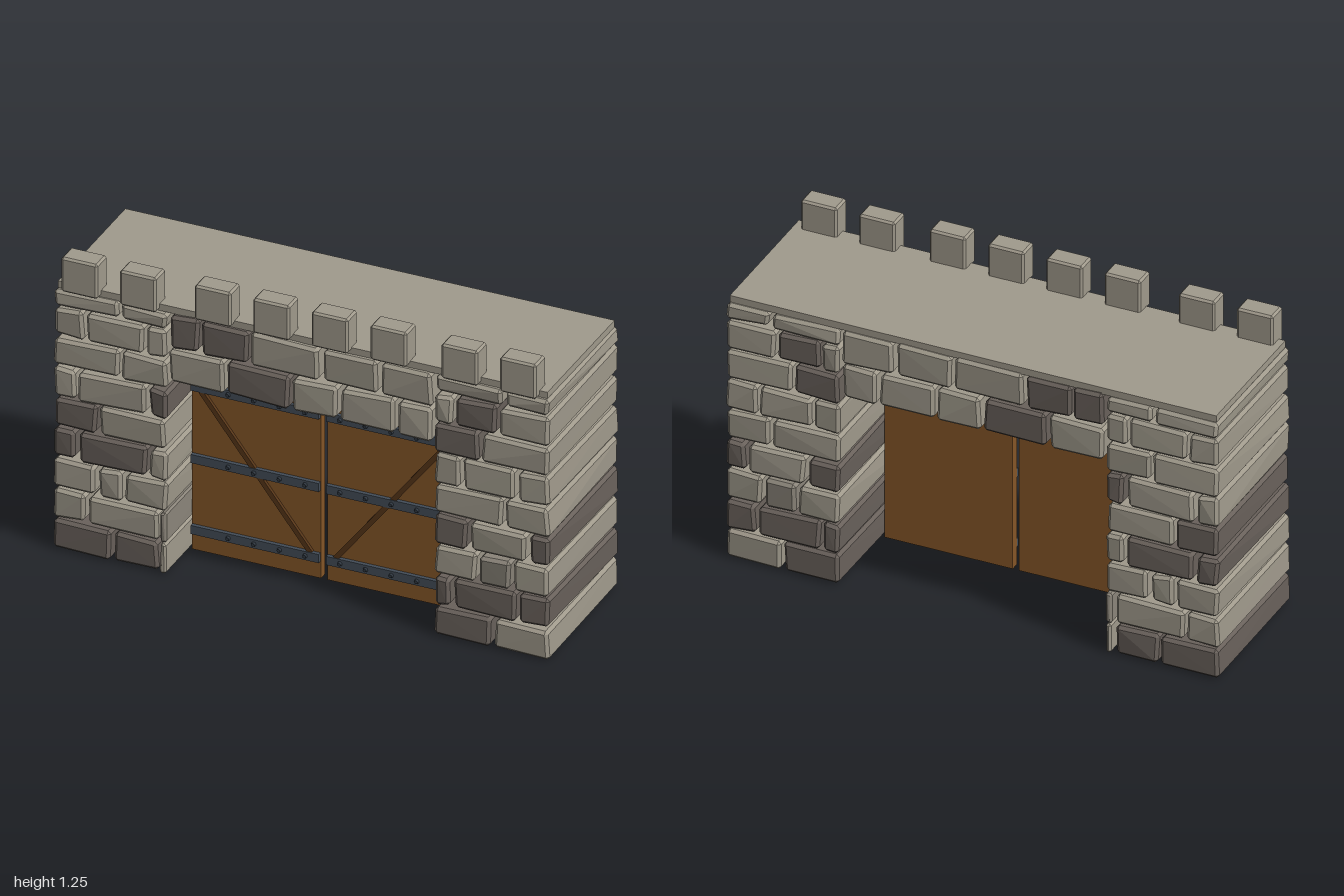
import * as THREE from 'three';
import { ConvexGeometry } from 'three/addons/geometries/ConvexGeometry.js';

const mat = (name, color) => {
  const m = new THREE.MeshStandardMaterial({ color });
  m.name = name;
  return m;
};

export function createModel() {
  const root = new THREE.Group();
  root.name = 'stoneGatehouse';
  const light = mat('lightStone', 0xa09a8c);
  const mid = mat('midStone', 0x8b857a);
  const dark = mat('darkStone', 0x69615b);
  const wood = mat('doorWood', 0x855628);
  const brace = mat('braceWood', 0x573618);
  const iron = mat('iron', 0x434d58);
  const rivetIron = mat('rivetIron', 0x303841);
  const tones = { l: light, m: mid, d: dark };

  // Small seeded generator for the uneven stone corners
  let seed = 11;
  const rand = () => {
    seed = (seed * 16807) % 2147483647;
    return seed / 2147483647;
  };

  const add = (parent, name, geometry, material, x = 0, y = 0, z = 0) => {
    const m = new THREE.Mesh(geometry, material);
    m.name = name;
    m.position.set(x, y, z);
    parent.add(m);
    return m;
  };

  // Chamfered block: three points per corner, each corner pushed inward a little
  function block(x0, x1, y0, y1, z0, z1, bevel, wobble) {
    const points = [];
    const c = [(x0 + x1) / 2, (y0 + y1) / 2, (z0 + z1) / 2];
    const h = [(x1 - x0) / 2, (y1 - y0) / 2, (z1 - z0) / 2];
    const b = Math.min(bevel, h[0] * 0.5, h[1] * 0.4);
    const w = Math.min(wobble, h[0] * 0.3);
    for (const sx of [-1, 1]) for (const sy of [-1, 1]) for (const sz of [-1, 1]) {
      const s = [sx, sy, sz];
      const push = s.map(() => rand() * w);
      for (let axis = 0; axis < 3; axis++) {
        const p = s.map((v, i) => c[i] + v * (h[i] - push[i] - (i === axis ? 0 : b)));
        points.push(new THREE.Vector3(...p));
      }
    }
    return new ConvexGeometry(points);
  }

  // A course of stones: [y0, y1, tones, x limits of the stones]
  function course(parent, [y0, y1, code, xs], zFront) {
    for (let i = 0; i < code.length; i++) {
      const g = block(xs[i] + 0.003, xs[i + 1] - 0.003, y0, y1, -0.316, zFront, 0.012, 0.009);
      add(parent, 'stone', g, tones[code[i]]);
    }
  }

  const rowY = [0, 0.13, 0.258, 0.386, 0.513, 0.641, 0.77, 0.896, 1.022, 1.097];
  const rightRows = [ // pillar on -x
    ['ddl', [-1, -0.757, -0.57, -0.535]],
    ['llm', [-1, -0.86, -0.57, -0.535]],
    ['lll', [-1, -0.82, -0.715, -0.535]],
    ['ddl', [-1, -0.9, -0.617, -0.535]],
    ['dl', [-1, -0.815, -0.54]],
    ['lld', [-1, -0.9, -0.617, -0.535]],
    ['ll', [-1, -0.725, -0.535]],
    ['lll', [-1, -0.87, -0.63, -0.535]],
    ['ll', [-1, -0.73, -0.535]],
  ];
  const leftRows = [ // pillar on +x
    ['dl', [0.53, 0.767, 1]],
    ['ddd', [0.53, 0.607, 0.87, 1]],
    ['lml', [0.53, 0.707, 0.845, 1]],
    ['dld', [0.53, 0.67, 0.91, 1]],
    ['ll', [0.53, 0.815, 1]],
    ['lll', [0.53, 0.645, 0.865, 1]],
    ['dl', [0.53, 0.72, 1]],
    ['ldl', [0.53, 0.612, 0.79, 1]],
    ['ll', [0.53, 0.815, 1]],
  ];
  for (const [name, rows] of [['rightPillar', rightRows], ['leftPillar', leftRows]]) {
    const pillar = new THREE.Group();
    pillar.name = name;
    rows.forEach(([code, xs], i) => course(pillar, [rowY[i] + 0.001, rowY[i + 1] - 0.001, code, xs], 0.31));
    root.add(pillar);
  }

  // Two courses above the gateway
  const lintel = new THREE.Group();
  lintel.name = 'lintel';
  course(lintel, [0.808, 0.95, 'ldlll', [-0.535, -0.305, -0.04, 0.15, 0.38, 0.53]], 0.312);
  course(lintel, [0.954, 1.098, 'ddlll', [-0.535, -0.405, -0.21, 0.08, 0.312, 0.53]], 0.312);
  root.add(lintel);

  // Walkway slab and the battlements along its front edge
  add(root, 'walkway', new THREE.BoxGeometry(1.965, 0.028, 0.585), light, 0, 1.106, -0.006);
  [-0.883, -0.648, -0.348, -0.113, 0.122, 0.358, 0.643, 0.878].forEach((x, i) => {
    const y = i > 1 && i < 6 ? 1.107 : 1.097;
    add(root, 'merlon', block(x - 0.073, x + 0.073, y, y + 0.145, 0.233, 0.321, 0.008, 0), light);
  });

  // Double doors with iron straps, rivets and a diagonal brace
  const zFront = 0.1;
  for (const side of [-1, 1]) {
    const door = new THREE.Group();
    door.name = side < 0 ? 'rightDoor' : 'leftDoor';
    add(door, 'doorPanel', new THREE.BoxGeometry(0.518, 0.78, 0.035), wood, side * 0.272, 0.396, zFront - 0.0175);
    for (const y of [0.095, 0.393, 0.697]) {
      add(door, 'strap', new THREE.BoxGeometry(0.514, 0.036, 0.018), iron, side * 0.272, y, zFront + 0.007);
      for (const x of [0.07, 0.173, 0.276, 0.379]) {
        const rivet = add(door, 'rivet', new THREE.CylinderGeometry(0.007, 0.01, 0.01, 8), rivetIron, side * x, y, zFront + 0.02);
        rivet.rotation.x = Math.PI / 2;
      }
    }
    const dx = 0.44, dy = 0.57;
    const bar = add(door, 'diagonalBrace', new THREE.BoxGeometry(Math.hypot(dx, dy), 0.02, 0.014), brace, side * 0.27, 0.395, zFront + 0.006);
    bar.rotation.z = side * Math.atan2(dy, dx);
    root.add(door);
  }
  return root;
}
